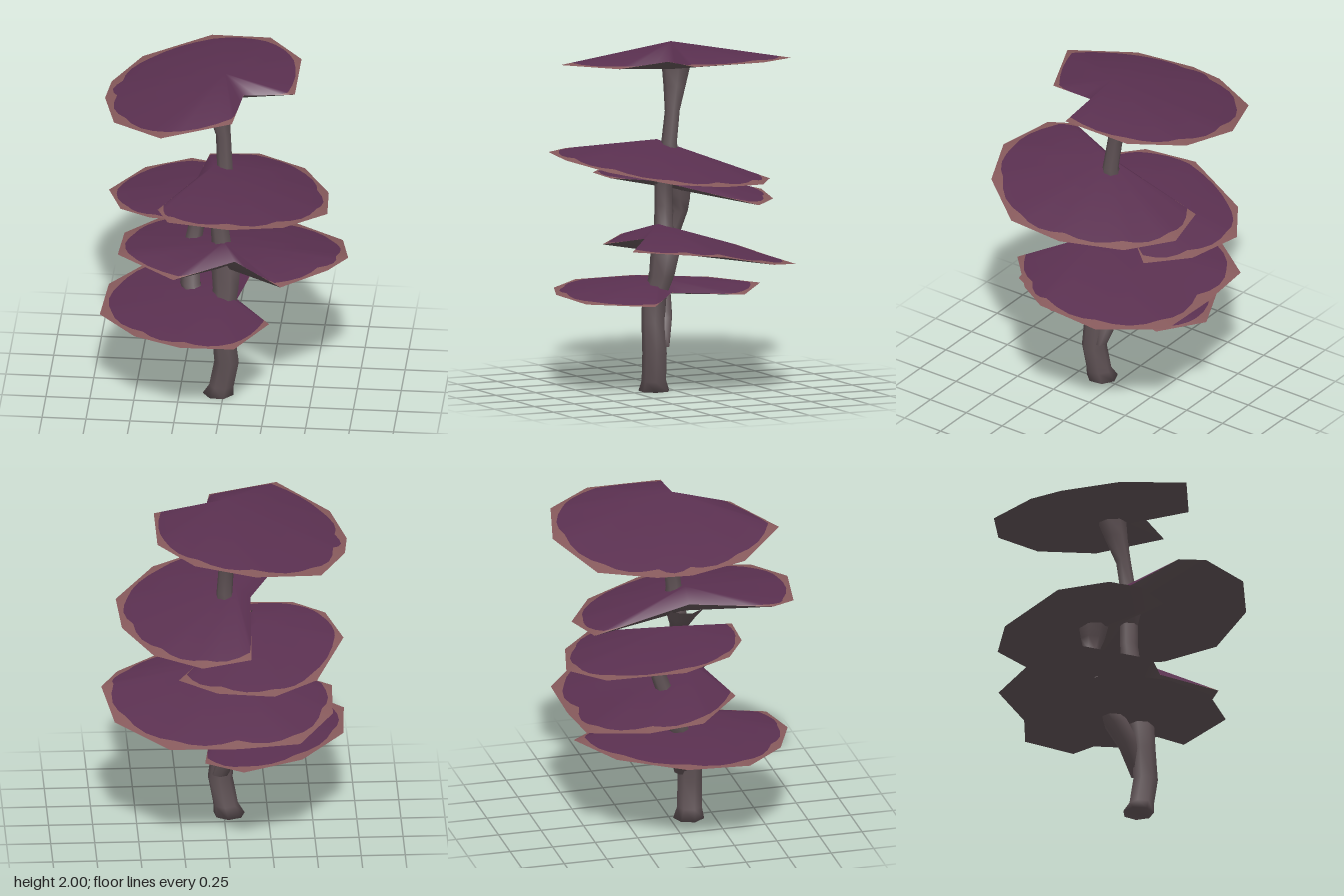
import * as THREE from 'three';

const mat = (name, color, side = THREE.FrontSide) => {
  const m = new THREE.MeshStandardMaterial({ color, side });
  m.name = name;
  return m;
};
const purple = mat('purple cap', 0x5a3050);
const brown = mat('dusty rose rim', 0x86595b);
const bark = mat('grey bark', 0x5e5154);

function geometry(positions, index) {
  const g = new THREE.BufferGeometry();
  g.setAttribute('position', new THREE.Float32BufferAttribute(positions, 3));
  g.setIndex(index);
  return g;
}

// Leaf-like cap: a shallow cone over a notched outline. The outline runs
// counter-clockwise seen from above; its first point is the notch.
function cap(name, apex, outline) {
  const group = new THREE.Group();
  group.name = name;
  const centre = new THREE.Vector3(...apex);
  const pts = outline.map(p => new THREE.Vector3(...p));
  const count = pts.length, steps = 4;
  const inner = [], outer = [];
  pts.forEach((p, i) => {
    const next = pts[(i + 1) % count];
    for (let s = 0; s < steps; s++) {
      const t = s / steps;
      const edge = p.clone().lerp(next, t);
      // the coloured middle is a rounded oval, and runs right into the notch
      let k = 0.9 + 0.06 * Math.sin(Math.PI * t);
      if (i === 0) k = t < 0.7 ? 0.998 : 0.975;
      if (i === count - 1 && s > 0) k = t > 0.3 ? 0.998 : 0.975;
      outer.push(edge);
      inner.push(centre.clone().lerp(edge, k));
    }
  });

  // Upper side: purple fan, then rim strip
  const n = outer.length, fan = [], strip = [];
  for (let i = 0; i < n; i++) {
    const j = (i + 1) % n;
    const a = 1 + i, b = 1 + j, c = 1 + n + i, d = 1 + n + j;
    fan.push(0, a, b);
    strip.push(a, c, d, a, d, b);
  }
  const top = geometry([centre, ...inner, ...outer].flatMap(v => v.toArray()), [...fan, ...strip]);
  top.addGroup(0, fan.length, 0);
  top.addGroup(fan.length, strip.length, 1);
  top.computeVertexNormals();
  const topMesh = new THREE.Mesh(top, [purple, brown]);
  topMesh.name = name + ' top';

  // Underside: nearly flat fan at rim height
  const rim = pts.slice(1);
  const low = centre.clone();
  low.y = rim.reduce((sum, p) => sum + p.y, 0) / rim.length;
  const under = geometry([low, ...pts].flatMap(v => v.toArray()),
    pts.flatMap((_, i) => [0, 1 + (i + 1) % count, 1 + i]));
  under.computeVertexNormals();
  const underMesh = new THREE.Mesh(under, bark);
  underMesh.name = name + ' underside';

  group.add(topMesh, underMesh);
  return group;
}

// Stem through level rings given as [x, y, z, radius]
function stem(name, rings, sides = 7) {
  const pos = [], index = [];
  rings.forEach(([x, y, z, r], k) => {
    for (let i = 0; i < sides; i++) {
      const a = (i / sides) * Math.PI * 2 + 0.3;
      pos.push(x + r * Math.cos(a), y, z + r * Math.sin(a));
      if (k === 0) continue;
      const j = (i + 1) % sides;
      const p = (k - 1) * sides, q = k * sides;
      index.push(p + i, q + i, q + j, p + i, q + j, p + j);
    }
  });
  // close the foot
  for (let i = 1; i < sides - 1; i++) index.push(0, i, i + 1);
  const g = geometry(pos, index);
  g.computeVertexNormals();
  const mesh = new THREE.Mesh(g, bark);
  mesh.name = name;
  return mesh;
}

export function createModel() {
  const model = new THREE.Group();
  model.name = 'layered fungus tree';

  // Trunk and side branch, flaring where they carry a cap
  model.add(stem('trunk', [
    [-0.03, 0, 0.11, 0.09], [-0.01, 0.06, 0.12, 0.072], [0.02, 0.22, 0.13, 0.072],
    [0, 0.4, 0.13, 0.068], [-0.005, 0.54, 0.12, 0.072], [0.01, 0.66, 0.08, 0.075],
    [0.01, 0.78, 0.06, 0.085], [-0.01, 0.88, 0.06, 0.06], [-0.03, 1.06, 0.05, 0.052],
    [-0.03, 1.2, 0.05, 0.052], [-0.01, 1.33, 0.03, 0.065], [0, 1.42, 0.03, 0.046],
    [-0.01, 1.6, 0.005, 0.044], [-0.04, 1.74, -0.025, 0.066], [-0.06, 1.85, -0.045, 0.085],
  ]));
  model.add(stem('side branch', [
    [0.02, 0.26, 0.09, 0.05], [-0.04, 0.42, 0.06, 0.065], [-0.14, 0.52, 0.03, 0.075],
    [-0.2, 0.64, 0, 0.058], [-0.2, 0.82, -0.06, 0.052], [-0.165, 1.0, -0.12, 0.045],
    [-0.17, 1.07, -0.11, 0.07], [-0.18, 1.16, -0.1, 0.09],
  ]));
  // Flared support under the second cap
  model.add(stem('upper support', [
    [-0.03, 1.18, 0.05, 0.05], [-0.06, 1.25, 0.06, 0.075], [-0.07, 1.32, 0.07, 0.12],
  ]));

  // Caps from top to bottom
  model.add(cap('crown cap', [0, 2, 0.02], [
    [0.11, 1.9, 0.09], [0.4, 1.905, 0.06], [0.4, 1.905, -0.37], [0.2, 1.89, -0.64],
    [-0.14, 1.85, -0.72], [-0.52, 1.78, -0.56], [-0.67, 1.775, -0.25], [-0.69, 1.775, -0.05],
    [-0.61, 1.795, 0.28], [-0.32, 1.855, 0.56], [0.07, 1.87, 0.38],
  ]));
  model.add(cap('second cap', [-0.06, 1.435, 0.08], [
    [-0.15, 1.36, 0.08], [-0.34, 1.375, 0.52], [-0.27, 1.37, 0.66], [0.08, 1.37, 0.72],
    [0.38, 1.33, 0.59], [0.605, 1.27, 0.29], [0.585, 1.235, -0.03], [0.42, 1.21, -0.36],
    [0.15, 1.2, -0.53], [-0.13, 1.22, -0.47],
  ]));
  model.add(cap('third cap', [-0.18, 1.25, -0.02], [
    [-0.09, 1.19, 0.06], [0.28, 1.07, -0.4], [0.07, 1.07, -0.59], [-0.25, 1.08, -0.67],
    [-0.5, 1.1, -0.5], [-0.67, 1.17, -0.08], [-0.58, 1.2, 0.2], [-0.4, 1.215, 0.32],
    [-0.15, 1.215, 0.33],
  ]));
  model.add(cap('fourth cap', [0, 0.96, 0.1], [
    [0.07, 0.89, 0.2], [0.35, 0.86, 0.43], [0.6, 0.86, 0.2], [0.7, 0.85, 0.02],
    [0.64, 0.78, -0.32], [0.34, 0.73, -0.6], [-0.05, 0.73, -0.61], [-0.4, 0.745, -0.59],
    [-0.6, 0.79, -0.28], [-0.61, 0.82, 0.04], [-0.27, 0.82, 0.32],
  ]));
  model.add(cap('lowest cap', [-0.03, 0.645, 0.08], [
    [0.07, 0.57, 0.05], [0.13, 0.54, -0.38], [-0.08, 0.57, -0.58], [-0.42, 0.57, -0.42],
    [-0.67, 0.57, -0.07], [-0.69, 0.565, 0.29], [-0.47, 0.56, 0.53], [-0.2, 0.56, 0.645],
    [0.1, 0.54, 0.6], [0.27, 0.525, 0.25],
  ]));
  return model;
}
